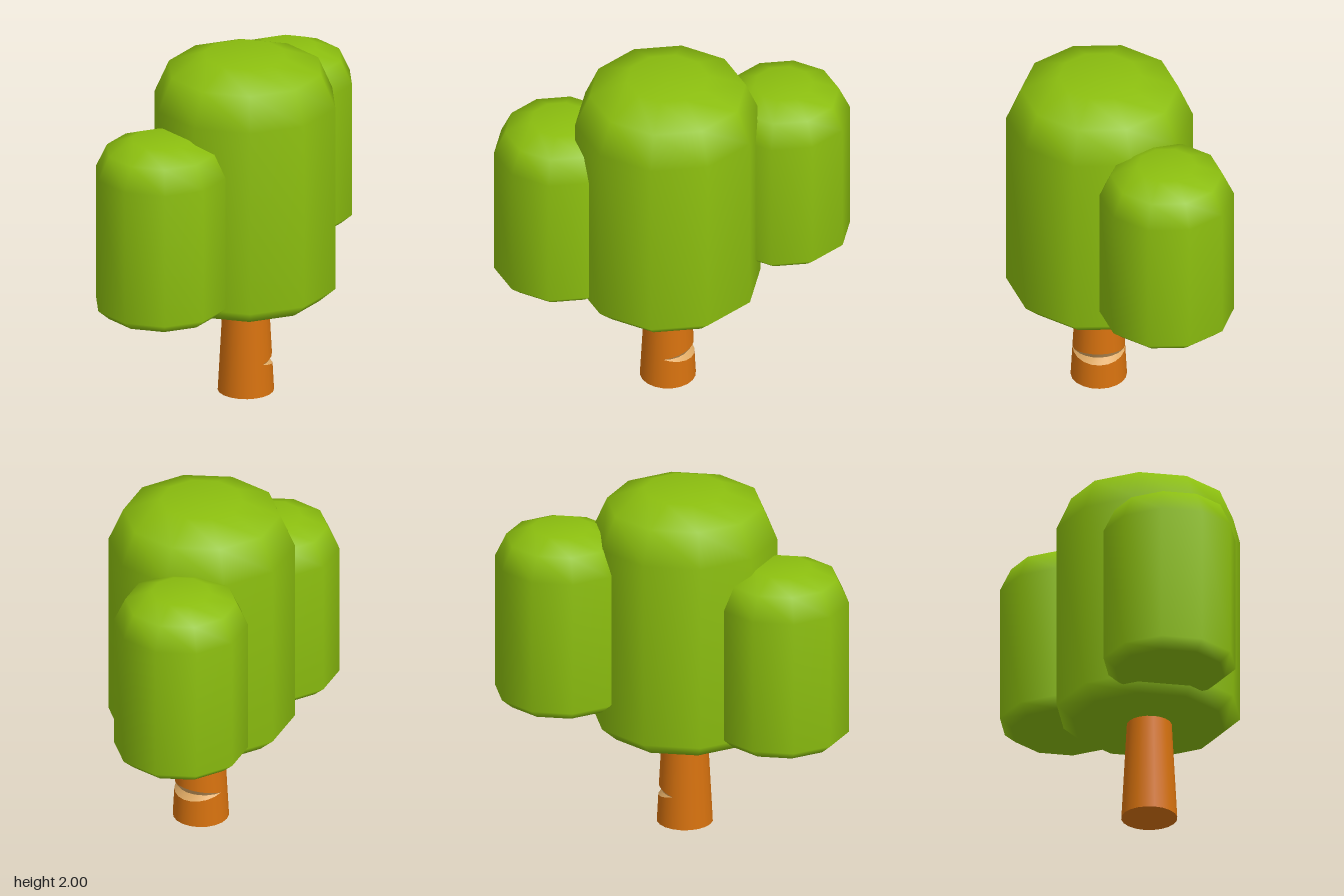
import * as THREE from 'three';

const SIDES = 20;
const AXIS = { x: 0.007, z: 0.105 };
const CUT_Y = 0.187;

const leafGreen = new THREE.MeshStandardMaterial({ name: 'leafGreen', color: 0x8cbf0f });
const barkOrange = new THREE.MeshStandardMaterial({ name: 'barkOrange', color: 0xdb740f });
const woodCream = new THREE.MeshStandardMaterial({ name: 'woodCream', color: 0xe3ad66 });

function addMesh(parent, name, geometry, material) {
  const mesh = new THREE.Mesh(geometry, material);
  mesh.name = name;
  parent.add(mesh);
  return mesh;
}

// Ten-sided leaf mass: chamfered base, straight wall, domed top
function addCrown(parent, name, x, z, profile) {
  const points = profile.map(([r, y]) => new THREE.Vector2(r, y));
  const mesh = addMesh(parent, name, new THREE.LatheGeometry(points, 10), leafGreen);
  mesh.position.set(x, 0, z);
}

// Smaller crowns share one profile, lifted to height y
const smallProfile = (y) => [
  [0, y], [0.31, y], [0.374, y + 0.055], [0.374, y + 0.835],
  [0.31, y + 0.97], [0.165, y + 1.03], [0, y + 1.03],
];

// Trunk taper, and the strength of the axe cut, deepest toward +x
const trunkRadius = (y) => 0.157 - 0.054 * y;
const cut = (a) => Math.max(0, Math.sin(a));
const lip = (sign) => (a) => {
  const y = CUT_Y + sign * 0.036 * cut(a);
  return [trunkRadius(y), y];
};
const level = (y) => () => [trunkRadius(y), y];
const groove = (a) => [trunkRadius(CUT_Y) - 0.024 * cut(a), CUT_Y];

// Open band between two edges, each giving [radius, y] for an angle
function band(lower, upper, sides, sweep) {
  const g = new THREE.CylinderGeometry(1, 1, 1, sides, 1, true, 0, sweep);
  const p = g.attributes.position;
  for (let i = 0; i < p.count; i++) {
    const a = Math.atan2(p.getX(i), p.getZ(i));
    const [r, y] = (p.getY(i) > 0 ? upper : lower)(a);
    p.setXYZ(i, r * Math.sin(a), y, r * Math.cos(a));
  }
  return g;
}

export function createModel() {
  const tree = new THREE.Group();
  tree.name = 'tree';

  // Foliage
  addCrown(tree, 'mainCrown', 0.005, 0.1, [
    [0, 0.57], [0.43, 0.57], [0.52, 0.65], [0.52, 1.73],
    [0.437, 1.92], [0.23, 2], [0, 2],
  ]);
  addCrown(tree, 'rightCrown', -0.6, 0.102, smallProfile(0.615));
  addCrown(tree, 'leftCrown', 0.595, -0.253, smallProfile(0.765));

  // Trunk, split at the axe cut
  const trunk = new THREE.Group();
  trunk.name = 'trunk';
  trunk.position.set(AXIS.x, 0, AXIS.z);
  tree.add(trunk);
  addMesh(trunk, 'lowerTrunk', band(level(0), lip(-1), SIDES, Math.PI * 2), barkOrange);
  addMesh(trunk, 'upperTrunk', band(lip(1), level(0.6), SIDES, Math.PI * 2), barkOrange);
  const base = new THREE.CircleGeometry(trunkRadius(0), SIDES);
  base.rotateX(Math.PI / 2);
  addMesh(trunk, 'trunkBase', base, barkOrange);

  // Pale wood inside the cut
  const faces = [['cutLowerFace', lip(-1), groove], ['cutUpperFace', groove, lip(1)]];
  for (const [name, lower, upper] of faces) {
    const g = band(lower, upper, SIDES / 2, Math.PI);
    g.computeVertexNormals();
    addMesh(trunk, name, g, woodCream);
  }
  return tree;
}
